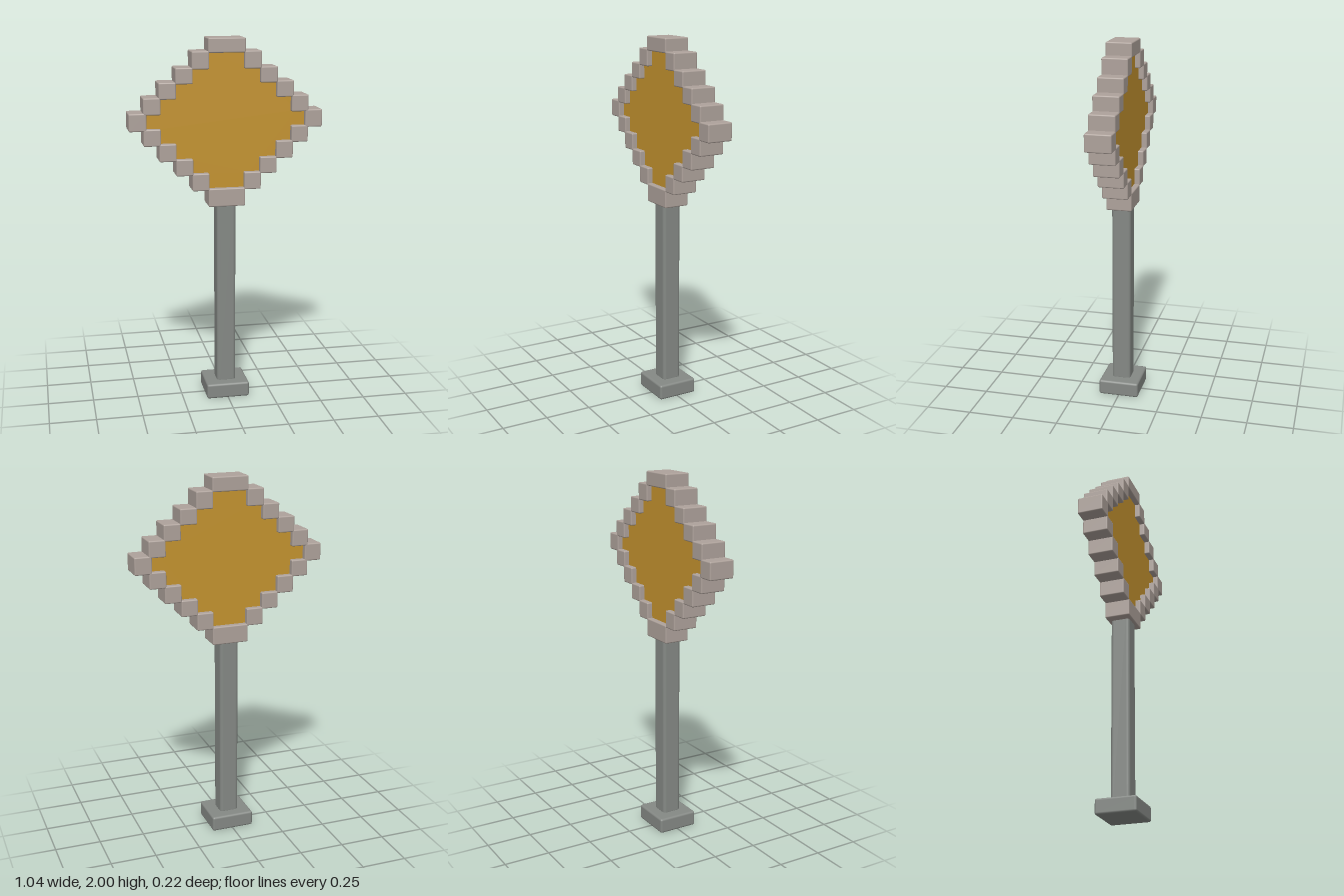
import * as THREE from 'three';
import { RoundedBoxGeometry } from 'three/addons/geometries/RoundedBoxGeometry.js';

const material = (name, color) => {
  const m = new THREE.MeshStandardMaterial({ color });
  m.name = name;
  return m;
};

export function createModel() {
  const postGrey = material('post grey', 0x858985);
  const frameStone = material('frame stone', 0xaea29b);
  const panelGold = material('panel gold', 0xc4932f);
  const sign = new THREE.Group();
  sign.name = 'signpost';

  // Softly rounded block spanning x0..x1 and y0..y1
  function block(parent, name, x0, x1, y0, y1, depth, radius, mat) {
    const geo = new RoundedBoxGeometry(x1 - x0, y1 - y0, depth, 2, radius);
    const mesh = new THREE.Mesh(geo, mat);
    mesh.position.set((x0 + x1) / 2, (y0 + y1) / 2, 0);
    mesh.name = name;
    parent.add(mesh);
  }

  // Foot and post
  block(sign, 'foot', -0.12, 0.12, 0, 0.085, 0.225, 0.012, postGrey);
  block(sign, 'post', -0.053, 0.053, 0.07, 1.13, 0.106, 0.018, postGrey);

  // Stepped diamond frame: outer half-widths per row, with the row boundaries
  const widths = [0.10, 0.187, 0.274, 0.363, 0.445, 0.522, 0.445, 0.363, 0.274, 0.187, 0.10];
  const levels = [1.10, 1.195, 1.28, 1.36, 1.445, 1.525, 1.61, 1.69, 1.768, 1.843, 1.927, 2.0];
  const inner = i => Math.min(widths[i] - 0.08, 0.44) - 0.012;
  const frame = new THREE.Group();
  frame.name = 'frame';
  sign.add(frame);
  const last = widths.length - 1;
  widths.forEach((w, i) => {
    const y0 = levels[i] - (i > 0 ? 0.005 : 0);
    const y1 = levels[i + 1] + (i < last ? 0.005 : 0);
    if (i === 0 || i === last) {
      block(frame, 'frameCap', -w, w, y0, y1, 0.14, 0.007, frameStone);
    } else {
      block(frame, 'frameBlockLeft', inner(i), w, y0, y1, 0.14, 0.007, frameStone);
      block(frame, 'frameBlockRight', -w, -inner(i), y0, y1, 0.14, 0.007, frameStone);
    }
  });

  // Recessed panel, its stepped edge tucked inside the frame blocks
  const right = [];
  for (let i = 1; i < last; i++) {
    const w = inner(i) + 0.03;
    right.push(new THREE.Vector2(w, levels[i]), new THREE.Vector2(w, levels[i + 1]));
  }
  const left = right.map(p => new THREE.Vector2(-p.x, p.y)).reverse();
  const panelGeo = new THREE.ExtrudeGeometry(new THREE.Shape([...right, ...left]), {
    depth: 0.08, bevelEnabled: false,
  });
  panelGeo.translate(0, 0, -0.04);
  const panel = new THREE.Mesh(panelGeo, panelGold);
  panel.name = 'panel';
  sign.add(panel);

  return sign;
}
